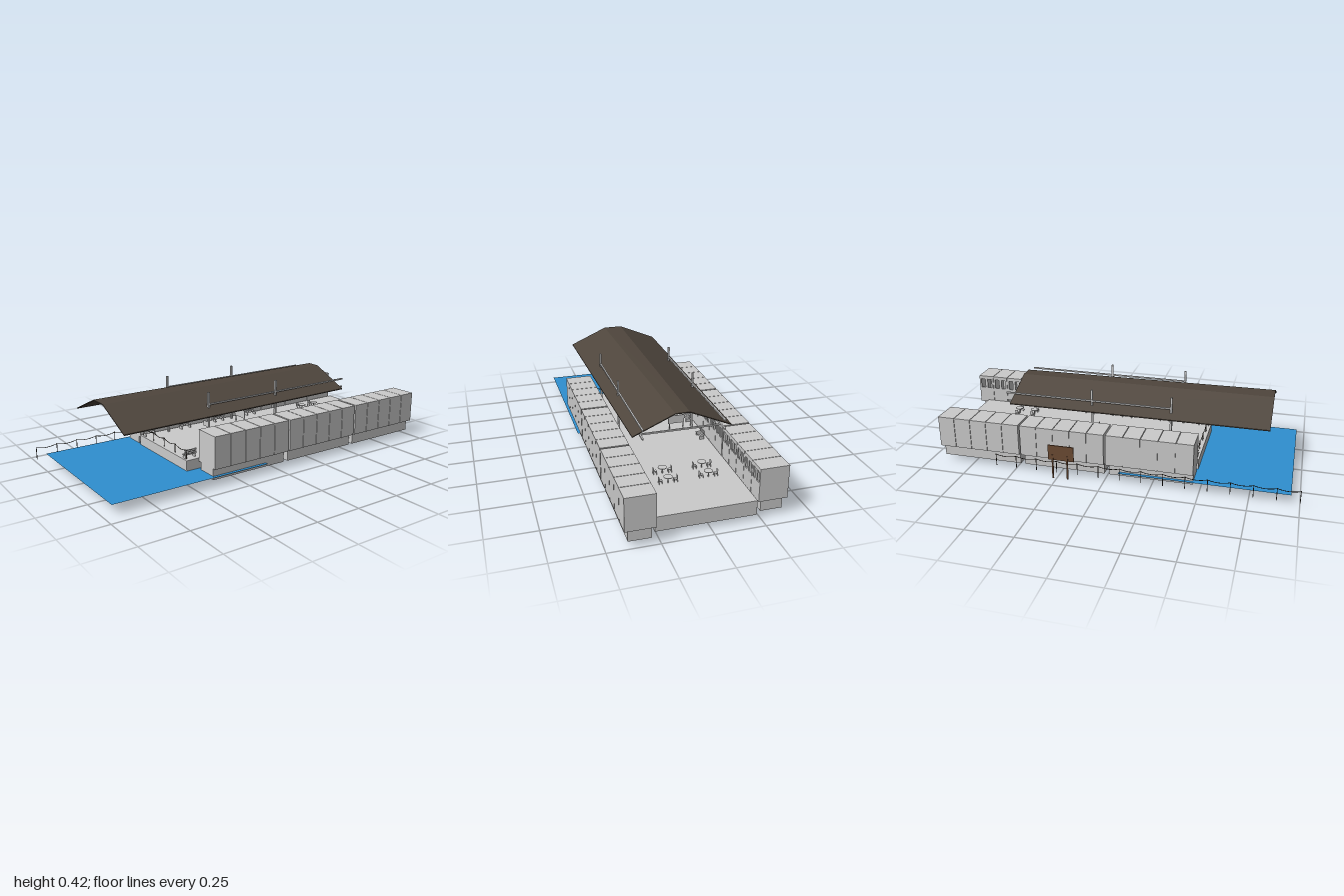
import * as THREE from 'three';

const mat = (color, side = THREE.FrontSide) => new THREE.MeshStandardMaterial({ color, side });
const grey = mat(0xcccccc), dark = mat(0x3a342e), roofMat = mat(0x4f463d), wood = mat(0x6b4a33);
const water = mat(0x2f8fd0, THREE.DoubleSide);

function add(parent, name, geometry, material = grey) {
  const mesh = new THREE.Mesh(geometry, material);
  mesh.name = name;
  parent.add(mesh);
  return mesh;
}

// box given by its minimum and maximum on each axis
function box(parent, name, x0, x1, y0, y1, z0, z1, material = grey) {
  const mesh = add(parent, name, new THREE.BoxGeometry(x1 - x0, y1 - y0, z1 - z0), material);
  mesh.position.set((x0 + x1) / 2, (y0 + y1) / 2, (z0 + z1) / 2);
  return mesh;
}

function group(parent, name, x = 0, y = 0, z = 0) {
  const g = new THREE.Group();
  g.name = name;
  g.position.set(x, y, z);
  parent.add(g);
  return g;
}

const wallT = 0.006, low = 0.09, high = 0.26;

// wall of one carriage module, with two window openings
function windowWall(width) {
  const shape = new THREE.Shape();
  shape.moveTo(-width / 2, low).lineTo(width / 2, low).lineTo(width / 2, high).lineTo(-width / 2, high).closePath();
  for (const c of [-0.021, 0.021]) {
    const hole = new THREE.Path();
    hole.moveTo(c - 0.013, 0.185).lineTo(c - 0.013, 0.24).lineTo(c + 0.013, 0.24).lineTo(c + 0.013, 0.185).closePath();
    shape.holes.push(hole);
  }
  return new THREE.ExtrudeGeometry(shape, { depth: wallT, bevelEnabled: false }).rotateY(-Math.PI / 2);
}

// carriage of five hollow modules; s = +1 when its windows face -x
function carriage(parent, x0, x1, z0, z1, s) {
  const car = group(parent, 'carriage');
  const step = (z1 - z0) / 5, gap = 0.0015;
  for (let i = 0; i < 5; i++) {
    const a = z0 + i * step + (i ? gap : 0), b = z0 + (i + 1) * step - (i < 4 ? gap : 0);
    const wall = add(car, 'windowWall', windowWall(b - a));
    wall.position.set(s > 0 ? x0 + wallT : x1, 0, (a + b) / 2);
    const outer = s > 0 ? x1 - wallT : x0;
    box(car, 'outerWall', outer, outer + wallT, low, high, a, b);
    box(car, 'carriageRoof', x0 + wallT, x1 - wallT, high - wallT, high, a, b);
    box(car, 'carriageFloor', x0 + wallT, x1 - wallT, low, low + wallT, a, b);
  }
  // partitions close the ends and back the joints
  for (let i = 0; i <= 5; i++) {
    const end = i === 0 || i === 5, m = end ? wallT : 0.004;
    const c = z0 + i * step + (i === 0 ? 0.003 : i === 5 ? -0.003 : 0);
    box(car, 'partition', x0 + m, x1 - m, low + m, high - m, c - 0.003, c + 0.003);
  }
  box(car, 'undercarriage', x0 + 0.018, x1 - 0.018, 0.03, low, z0 + 0.015, z1);
}

// posts joined by a sagging rope, running along +x from the origin
function ropeFence(parent, name, count, spacing, postH, sag) {
  const fence = group(parent, name);
  for (let i = 0; i <= count; i++) {
    const post = add(fence, 'fencePost', new THREE.CylinderGeometry(0.002, 0.002, postH, 6), dark);
    post.position.set(i * spacing, postH / 2, 0);
    if (i === count) break;
    const top = postH - 0.002, x = i * spacing;
    const curve = new THREE.QuadraticBezierCurve3(
      new THREE.Vector3(x, top, 0), new THREE.Vector3(x + spacing / 2, top - 2 * sag, 0), new THREE.Vector3(x + spacing, top, 0));
    add(fence, 'rope', new THREE.TubeGeometry(curve, 8, 0.0018, 5), dark);
  }
  return fence;
}

function chair(parent, x, z, turn) {
  const c = group(parent, 'chair', x, 0.105, z);
  c.rotation.y = turn;
  box(c, 'chairSeat', -0.009, 0.009, 0.016, 0.019, -0.009, 0.009);
  box(c, 'chairBack', 0.007, 0.009, 0.019, 0.036, -0.009, 0.009);
  for (const lx of [-0.008, 0.008]) for (const lz of [-0.008, 0.008])
    box(c, 'chairLeg', lx - 0.001, lx + 0.001, 0, 0.016, lz - 0.001, lz + 0.001);
}

function tableSet(parent, x, z) {
  const t = group(parent, 'tableSet');
  add(t, 'tableTop', new THREE.CylinderGeometry(0.022, 0.022, 0.003, 16)).position.set(x, 0.137, z);
  add(t, 'tableLeg', new THREE.CylinderGeometry(0.003, 0.003, 0.031, 8)).position.set(x, 0.12, z);
  chair(t, x + 0.038, z, 0);
  chair(t, x - 0.038, z, Math.PI);
}

// bench 0.07 long, back rest on its -x side
function bench(parent, x, z, turn) {
  const b = group(parent, 'bench', x, 0.105, z);
  b.rotation.y = turn;
  for (let i = 0; i < 3; i++) {
    box(b, 'seatSlat', -0.012 + i * 0.009, -0.005 + i * 0.009, 0.017, 0.02, -0.035, 0.035);
    box(b, 'backSlat', -0.015, -0.013, 0.023 + i * 0.009, 0.029 + i * 0.009, -0.035, 0.035);
  }
  for (const lz of [-0.028, 0.028]) {
    box(b, 'benchLeg', -0.011, 0.012, 0, 0.017, lz - 0.002, lz + 0.002);
    box(b, 'backSupport', -0.013, -0.011, 0, 0.048, lz - 0.002, lz + 0.002);
  }
}

export function createModel() {
  const model = new THREE.Group();
  model.name = 'station';

  // ground and water
  box(model, 'platform', -0.225, 0.265, 0.03, 0.105, -0.945, 0.47);
  const pool = add(model, 'water', new THREE.PlaneGeometry(0.8, 0.88).rotateX(-Math.PI / 2), water);
  pool.position.set(0.018, 0.05, 0.515);

  // two trains of three carriages
  const left = group(model, 'leftTrain'), right = group(model, 'rightTrain');
  // each carriage pitch is its length plus a narrow gap
  for (let i = 0; i < 3; i++) {
    carriage(left, -0.38, -0.235, -0.935 + i * 0.47, -0.475 + i * 0.47, -1);
    carriage(right, 0.272, 0.417, -1 + i * 0.47, -0.54 + i * 0.47, 1);
  }

  // canopy: bent sheet whose right slope is turned slightly in plan
  const t = 0.005, prof = [[-0.238, 0.32], [-0.02, 0.414], [0.085, 0.414], [0.3, 0.32]];
  const sheet = new THREE.Shape([...prof, ...prof.map(([x, y]) => [x, y - t]).reverse()]
    .map(([x, y]) => new THREE.Vector2(x, y)));
  const roofGeo = new THREE.ExtrudeGeometry(sheet, { depth: 1.395, bevelEnabled: false }).translate(0, 0, -0.573);
  const p = roofGeo.attributes.position;
  for (let i = 0; i < p.count; i++) {
    if (p.getX(i) > 0.05 && p.getZ(i) < 0) p.setX(i, p.getX(i) - 0.032);
  }
  roofGeo.computeVertexNormals();
  add(model, 'canopyRoof', roofGeo, roofMat);

  // canopy frame
  const frame = group(model, 'canopyFrame');
  for (const x of [-0.19, 0.225]) {
    for (const z of [0.31, -0.12]) box(frame, 'post', x - 0.005, x + 0.005, 0.105, 0.425, z - 0.005, z + 0.005);
    box(frame, 'upperRail', x - 0.004, x + 0.004, 0.359, 0.367, -0.61, 0.31);
    box(frame, 'lowerRail', x - 0.004, x + 0.004, 0.313, 0.321, -0.61, 0.31);
  }
  for (const z of [0.31, -0.12, -0.55]) box(frame, 'crossBeam', -0.19, 0.225, 0.312, 0.32, z - 0.004, z + 0.004);

  // hanging boards
  const boards = group(model, 'boards');
  box(boards, 'mainBoard', -0.062, 0.1, 0.26, 0.305, 0.307, 0.313);
  for (const x of [-0.03, 0.07]) box(boards, 'boardHanger', x - 0.001, x + 0.001, 0.305, 0.313, 0.309, 0.311);
  box(boards, 'leftPostBoard', -0.185, -0.148, 0.252, 0.28, 0.308, 0.312);
  box(boards, 'rightPostBoard', 0.18, 0.22, 0.24, 0.268, 0.308, 0.312);
  box(boards, 'noticeBoard', -0.147, -0.055, 0.137, 0.183, -0.122, -0.118);
  for (const x of [-0.14, -0.062]) box(boards, 'noticeLeg', x - 0.002, x + 0.002, 0.105, 0.14, -0.122, -0.118);

  // rope fences
  const frontFence = ropeFence(model, 'frontFence', 4, 0.1125, 0.05, 0.011);
  frontFence.position.set(-0.21, 0.105, 0.455);
  const sideFence = ropeFence(model, 'sideFence', 14, 0.1143, 0.068, 0.009);
  sideFence.rotation.y = -Math.PI / 2;
  sideFence.position.set(-0.4, 0.022, -0.6);

  // wooden trackside sign
  const sign = group(model, 'tracksideSign');
  box(sign, 'signBoard', -0.419, -0.413, 0.105, 0.188, -0.295, -0.155, wood);
  for (const z of [-0.27, -0.19]) box(sign, 'signLeg', -0.423, -0.417, 0, 0.135, z - 0.004, z + 0.004, wood);

  // platform furniture
  const furniture = group(model, 'furniture');
  for (const z of [-0.675, -0.58]) for (const x of [-0.085, 0.12]) tableSet(furniture, x, z);
  for (const z of [0.43, 0.2, -0.03, -0.26]) {
    bench(furniture, -0.19, z, 0);
    bench(furniture, 0.225, z, Math.PI);
  }
  return model;
}
